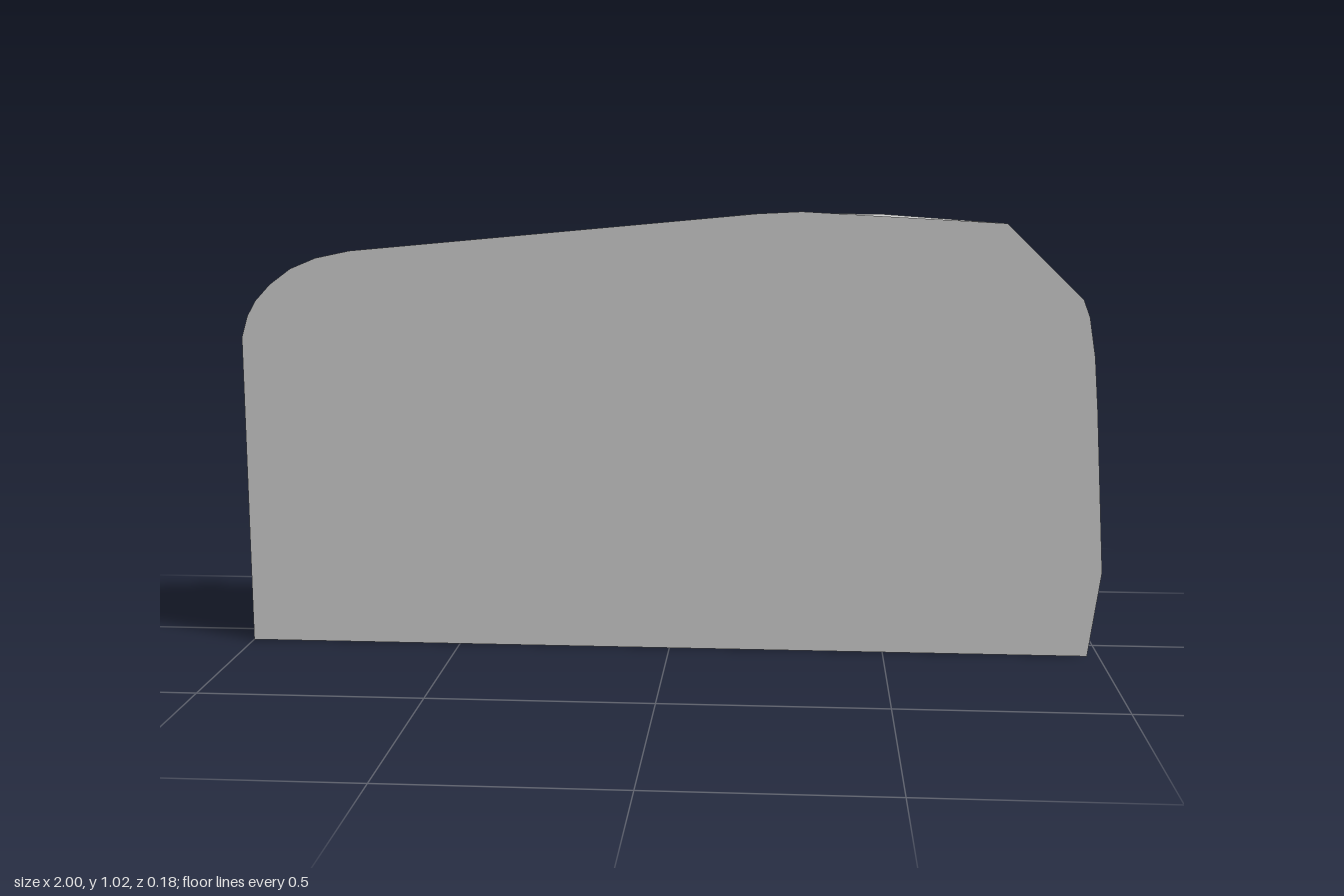
import * as THREE from 'three';
import { toCreasedNormals } from 'three/addons/utils/BufferGeometryUtils.js';

// Each row pairs a front rim point with its back rim point: [frontX, frontY, backX, backY]
const RIM = [
  [-1, 0, -0.82, 0],
  [-1, 0.73, -0.82, 0.73],
  [-0.985, 0.78, -0.805, 0.78],
  [-0.965, 0.815, -0.79, 0.815],
  [-0.93, 0.853, -0.76, 0.85],
  [-0.88, 0.89, -0.715, 0.885],
  [-0.82, 0.915, -0.665, 0.91],
  [-0.74, 0.932, -0.59, 0.932],
  [0.2, 1.02, 0.17, 1.01],
  [0.3, 1.025, 0.3, 1.014],
  [0.76, 1.0, 0.49, 1.012],
  [0.76, 1.0, 0.695, 0.905],
  [0.935, 0.83, 0.75, 0.865],
  [0.95, 0.79, 0.785, 0.81],
  [0.965, 0.7, 0.797, 0.74],
  [0.975, 0.58, 0.808, 0.6],
  [1, 0.2, 0.82, 0.45],
  [0.973, 0, 0.82, 0],
];
const HALF_DEPTH = 0.09;

function slabGeometry() {
  const front = RIM.map(([x, y]) => new THREE.Vector3(x, y, HALF_DEPTH));
  const back = RIM.map(([, , x, y]) => new THREE.Vector3(x, y, -HALF_DEPTH));
  const positions = [];
  const tri = (a, b, c) => {
    if (a.equals(b) || b.equals(c) || a.equals(c)) return;
    for (const p of [a, b, c]) positions.push(p.x, p.y, p.z);
  };

  // Bevelled wall around the rim, including the underside
  const n = RIM.length;
  for (let i = 0; i < n; i++) {
    const j = (i + 1) % n;
    tri(front[i], front[j], back[i]);
    tri(front[j], back[j], back[i]);
  }

  // Flat front and back faces
  for (let i = 1; i < n - 1; i++) {
    tri(front[0], front[i + 1], front[i]);
    tri(back[0], back[i], back[i + 1]);
  }

  const geometry = new THREE.BufferGeometry();
  geometry.setAttribute('position', new THREE.Float32BufferAttribute(positions, 3));
  return toCreasedNormals(geometry, THREE.MathUtils.degToRad(30));
}

export function createModel() {
  const model = new THREE.Group();
  model.name = 'bevelledPanel';
  const slab = new THREE.Mesh(slabGeometry(), new THREE.MeshStandardMaterial({ color: 0xcccccc }));
  slab.name = 'panel';
  model.add(slab);
  return model;
}
